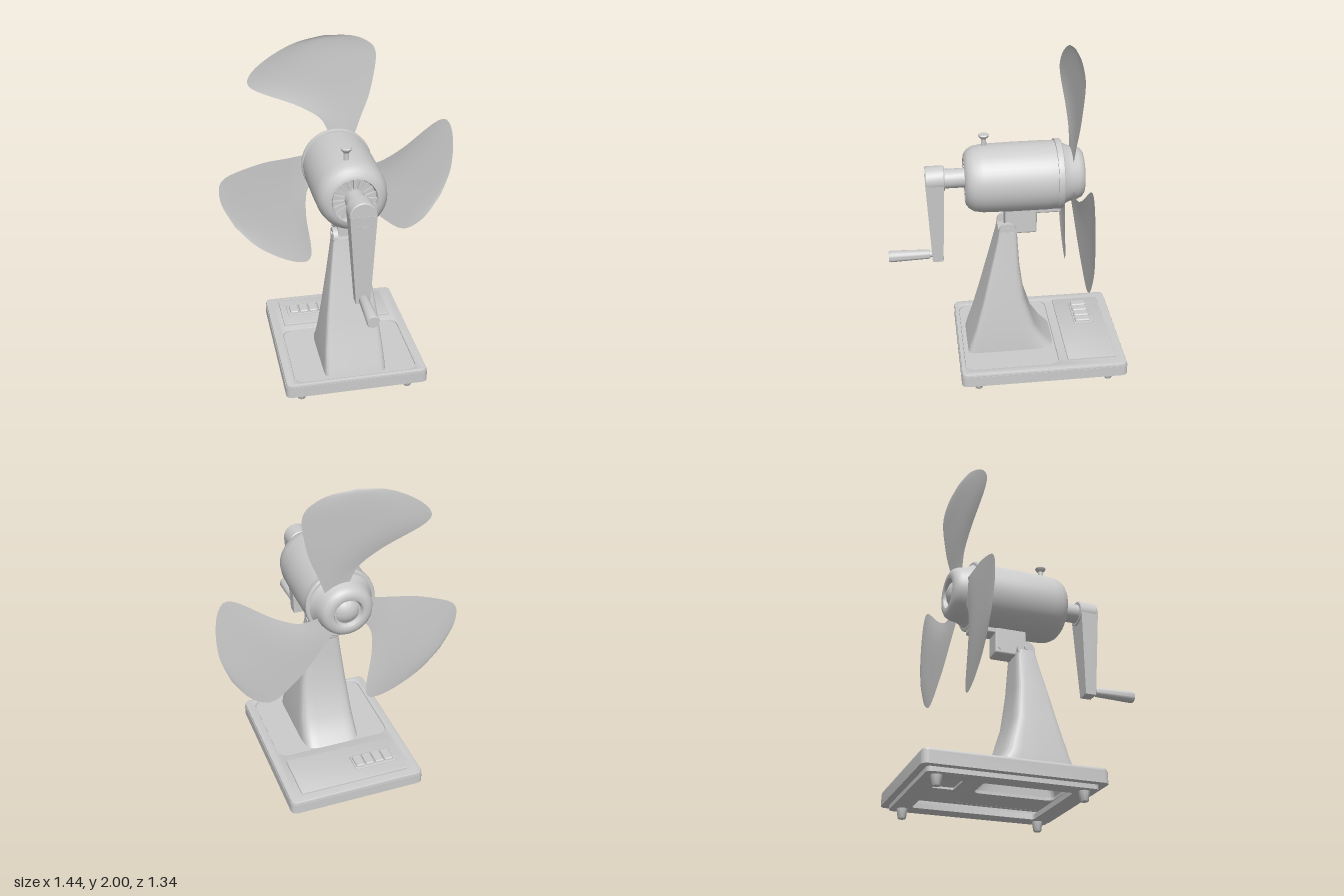
import * as THREE from 'three';
import { toCreasedNormals } from 'three/addons/utils/BufferGeometryUtils.js';
import { RoundedBoxGeometry } from 'three/addons/geometries/RoundedBoxGeometry.js';

const grey = new THREE.MeshStandardMaterial({ color: 0xcccccc });
const thin = new THREE.MeshStandardMaterial({ color: 0xcccccc, side: THREE.DoubleSide });
const AXIS_Y = 1.262;

export function createModel() {
  const group = new THREE.Group();
  // the whole fan is turned; inside, -x is the blade end and +x the crank end
  const fan = new THREE.Group();
  fan.name = 'handCrankFan';
  fan.position.set(-0.1, 0, 0.09);
  fan.rotation.y = -0.444;
  group.add(fan);

  const add = (name, geo, x = 0, y = 0, z = 0, mat = grey) => {
    const m = new THREE.Mesh(geo, mat);
    m.name = name;
    m.position.set(x, y, z);
    fan.add(m);
    return m;
  };
  const box = (name, x0, x1, y0, y1, z0, z1, r) => add(name,
    new RoundedBoxGeometry(x1 - x0, y1 - y0, z1 - z0, 2, r), (x0 + x1) / 2, (y0 + y1) / 2, (z0 + z1) / 2);
  // lathe along x from [x, radius] pairs
  const latheX = (name, pts, y, seg = 48) => add(name, toCreasedNormals(
    new THREE.LatheGeometry(pts.map(([x, r]) => new THREE.Vector2(r, x)), seg).rotateZ(-Math.PI / 2), 0.6), 0, y);
  const latheY = (name, pts, x, z, seg = 20) => add(name, toCreasedNormals(
    new THREE.LatheGeometry(pts.map(([y, r]) => new THREE.Vector2(r, y)), seg), 0.6), x, 0, z);
  // rounded rectangle outline
  const roundRect = (x0, x1, z0, z1, r, C = THREE.Shape) => {
    const s = new C();
    s.absarc(x1 - r, z1 - r, r, 0, Math.PI / 2);
    s.absarc(x0 + r, z1 - r, r, Math.PI / 2, Math.PI);
    s.absarc(x0 + r, z0 + r, r, Math.PI, Math.PI * 1.5);
    s.absarc(x1 - r, z0 + r, r, Math.PI * 1.5, Math.PI * 2);
    s.closePath();
    return s;
  };
  // flat plate; the outline's second axis becomes -z
  const slab = (name, outline, hole, y0, y1, bevel = 0) => {
    if (hole) outline.holes.push(hole);
    const g = new THREE.ExtrudeGeometry(outline, {
      depth: y1 - y0 - bevel, bevelEnabled: bevel > 0, bevelSize: bevel, bevelThickness: bevel,
      bevelOffset: -bevel, bevelSegments: 2, curveSegments: 6,
    });
    return add(name, toCreasedNormals(g.rotateX(-Math.PI / 2), 0.5), 0, y0);
  };

  // base: hollow tray, top plate with a shallow bay, underside rim and feet
  slab('baseWall', roundRect(-0.503, 0.506, -0.42, 0.42, 0.035), roundRect(-0.465, 0.465, -0.38, 0.38, 0.02, THREE.Path), 0.08, 0.145);
  slab('baseTop', roundRect(-0.5, 0.503, -0.417, 0.417, 0.035), roundRect(-0.09, 0.475, -0.36, 0.36, 0.06, THREE.Path), 0.14, 0.162, 0.008);
  slab('baseFloor', roundRect(-0.475, 0.478, -0.39, 0.39, 0.02), roundRect(-0.05, 0.425, -0.15, 0.15, 0.04, THREE.Path), 0.135, 0.152);
  slab('underRim', roundRect(-0.465, 0.465, -0.38, 0.38, 0.03), roundRect(-0.36, 0.36, -0.275, 0.275, 0.02, THREE.Path), 0.055, 0.085);
  slab('batteryCover', roundRect(-0.35, -0.15, -0.12, 0.12, 0.01), roundRect(-0.32, -0.18, -0.09, 0.09, 0.01, THREE.Path), 0.12, 0.136);
  for (const x of [-0.4, 0.4]) for (const z of [-0.32, 0.32]) {
    latheY('foot', [[0, 0], [0, 0.02], [0.005, 0.023], [0.06, 0.031]], x, z);
  }

  // control panel with a row of buttons
  slab('panel', roundRect(-0.445, -0.145, -0.34, 0.34, 0.01), null, 0.155, 0.173, 0.004);
  slab('buttonTray', roundRect(-0.365, -0.245, -0.3, -0.035, 0.01), null, 0.165, 0.18, 0.004);
  for (let i = 0; i < 4; i++) {
    const z = 0.045 + i * 0.061;
    box('button', -0.353, -0.255, 0.165, 0.194, z, z + 0.056, 0.01);
  }

  // pedestal: open-bottomed shell of rounded rectangular sections [y, front x, rear x, half width]
  const sections = [[0.145, -0.09, 0.45, 0.182], [0.2, -0.035, 0.435, 0.179], [0.3, 0.03, 0.4, 0.171],
    [0.5, 0.092, 0.345, 0.148], [0.7, 0.118, 0.295, 0.12], [0.88, 0.128, 0.25, 0.094], [0.935, 0.133, 0.24, 0.088]];
  const N = 48, pos = [], idx = [];
  sections.forEach(([y, x0, x1, b]) => {
    for (let i = 0; i < N; i++) {
      const a = (i / N) * Math.PI * 2, c = Math.cos(a), s = Math.sin(a);
      const p = c > 0 ? 0.15 : 0.35; // crisp rear corners, softer nose
      pos.push((x0 + x1) / 2 + (x1 - x0) / 2 * Math.sign(c) * Math.abs(c) ** p, y, b * Math.sign(s) * Math.abs(s) ** p);
    }
  });
  for (let j = 0; j < sections.length - 1; j++) for (let i = 0; i < N; i++) {
    const a = j * N + i, b = j * N + (i + 1) % N;
    idx.push(a, a + N, b, b, a + N, b + N);
  }
  const top = (sections.length - 1) * N;
  for (let i = 1; i < N - 1; i++) idx.push(top, top + i + 1, top + i);
  const ped = new THREE.BufferGeometry();
  ped.setAttribute('position', new THREE.Float32BufferAttribute(pos, 3));
  ped.setIndex(idx);
  add('pedestal', toCreasedNormals(ped, 0.7), 0, 0, 0, thin);

  // hinge: two round ears, the pivot, and the bracket under the motor
  for (const s of [-1, 1]) {
    add('hingeEar', new THREE.CylinderGeometry(0.053, 0.053, 0.028, 28).rotateX(Math.PI / 2), 0.187, 0.934, s * 0.072);
    add('pivotBolt', new THREE.CylinderGeometry(0.016, 0.016, 0.01, 16).rotateX(Math.PI / 2), 0.187, 0.95, s * 0.088);
    add('bracketBolt', new THREE.CylinderGeometry(0.012, 0.012, 0.01, 12).rotateX(Math.PI / 2), 0.04, 0.94, s * 0.056);
  }
  box('bracket', 0.01, 0.2, 0.905, 1.07, -0.055, 0.055, 0.012);
  box('mountingPlate', -0.135, 0.16, 1.03, 1.08, -0.05, 0.05, 0.01);

  // motor housing with a recessed rear grille
  latheX('motorHousing', [[-0.11, 0.2], [-0.05, 0.203], [0.15, 0.203], [0.33, 0.199], [0.38, 0.19], [0.41, 0.172],
    [0.428, 0.148], [0.432, 0.128], [0.412, 0.12], [0.406, 0.05], [0.406, 0]], AXIS_Y - 0.005);
  latheX('motorRing', [[-0.14, 0.18], [-0.138, 0.2], [-0.132, 0.206], [-0.108, 0.208], [-0.1, 0.205], [-0.098, 0.19]], AXIS_Y);
  for (let i = 0; i < 20; i++) {
    const rib = add('grilleRib', new THREE.BoxGeometry(0.022, 0.075, 0.013).translate(0, 0.085, 0), 0.417, AXIS_Y - 0.005, 0);
    rib.rotation.x = (i / 20) * Math.PI * 2;
  }

  // oiler knob on top
  latheY('topKnob', [[1.44, 0.016], [1.495, 0.015], [1.508, 0.028], [1.517, 0.031], [1.523, 0.027], [1.525, 0]], 0.31, 0.024);

  // hub with a domed nose inside its rim
  latheX('hub', [[-0.268, 0], [-0.264, 0.03], [-0.254, 0.055], [-0.24, 0.07], [-0.24, 0.077], [-0.263, 0.087], [-0.267, 0.1],
    [-0.263, 0.125], [-0.25, 0.143], [-0.225, 0.155], [-0.18, 0.164], [-0.15, 0.178], [-0.135, 0.188]], AXIS_Y);

  // blades: a grid stretched between the two edge curves, leaning forward, slightly pitched and cupped
  const curve = (pts) => new THREE.SplineCurve(pts.map(([x, y]) => new THREE.Vector2(x, y)));
  const leading = curve([[0.03, 0.13], [0.055, 0.2], [0.1, 0.265], [0.23, 0.345], [0.42, 0.425], [0.49, 0.47],
    [0.496, 0.515], [0.445, 0.578], [0.34, 0.65], [0.21, 0.708], [0.05, 0.738]]);
  const trailing = curve([[-0.11, 0.12], [-0.155, 0.24], [-0.21, 0.38], [-0.248, 0.56], [-0.242, 0.645],
    [-0.19, 0.695], [-0.1, 0.728], [0.05, 0.738]]);
  const blade = new THREE.PlaneGeometry(1, 1, 10, 48);
  const bp = blade.attributes.position;
  for (let i = 0; i < bp.count; i++) {
    const s = bp.getX(i) + 0.5, t = bp.getY(i) + 0.5;
    const p = trailing.getPointAt(t).lerp(leading.getPointAt(t), s);
    const lean = THREE.MathUtils.mapLinear(p.length(), 0.15, 0.72, -0.188, -0.218);
    bp.setXYZ(i, lean + 0.035 * p.x - 0.015 * Math.sin(Math.PI * s) * Math.sin(Math.PI * t), p.y, p.x);
  }
  blade.computeVertexNormals();
  for (let k = 0; k < 3; k++) add('blade', blade, 0, AXIS_Y, -0.008, thin).rotation.x = k * Math.PI * 2 / 3;

  // crank: shaft, tapered arm with a round head, and the grip
  latheX('crankShaft', [[0.39, 0.057], [0.56, 0.057]], AXIS_Y + 0.005, 28);
  latheX('crankHead', [[0.545, 0], [0.545, 0.07], [0.55, 0.075], [0.65, 0.075], [0.656, 0.07], [0.656, 0]], AXIS_Y + 0.008, 32);
  const arm = new THREE.CylinderGeometry(1, 1, 0.53, 4, 1).rotateY(Math.PI / 4);
  const ap = arm.attributes.position;
  for (let i = 0; i < ap.count; i++) {
    const up = ap.getY(i) > 0, k = Math.SQRT2;
    ap.setX(i, ap.getX(i) * k * (up ? 0.054 : 0.032));
    ap.setZ(i, ap.getZ(i) * k * (up ? 0.073 : 0.04));
  }
  add('crankArm', toCreasedNormals(arm, 0.5), 0.604, 1.003, 0);
  latheX('gripPin', [[0.57, 0.038], [0.632, 0.038], [0.632, 0.018], [0.67, 0.018]], 0.773, 20);
  latheX('grip', [[0.65, 0], [0.65, 0.025], [0.66, 0.028], [0.885, 0.035], [0.895, 0.031], [0.895, 0]], 0.773, 24);

  return group;
}
